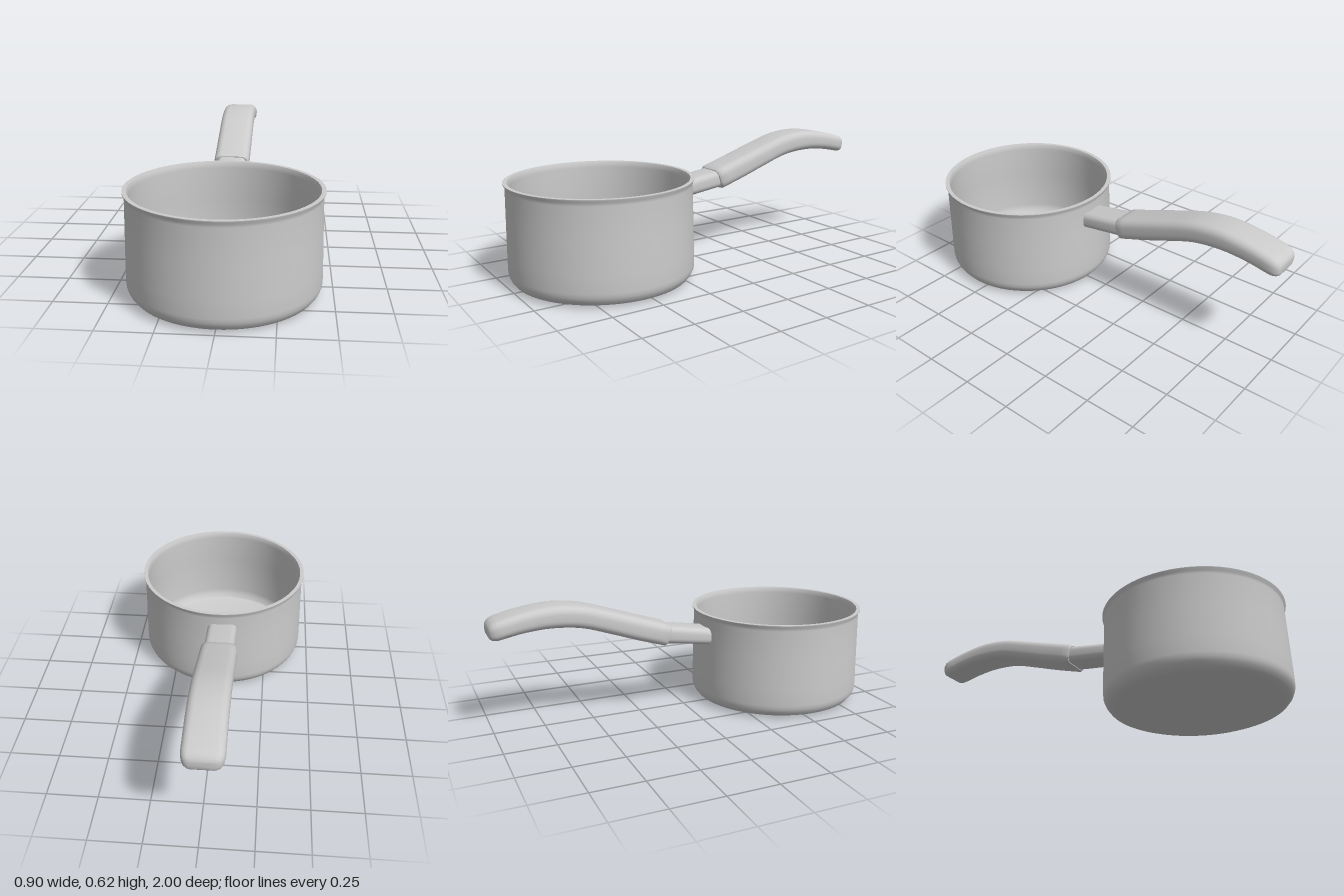
import * as THREE from 'three';
import { toCreasedNormals } from 'three/addons/utils/BufferGeometryUtils.js';

const HANDLE_X = -0.022;
const POT_Z = 0.547;

// Rounded rectangle outline, counter-clockwise, as [u, v] pairs
function roundedOutline(w, h, r, steps = 5) {
  const pts = [];
  const corners = [[1, 1], [-1, 1], [-1, -1], [1, -1]];
  corners.forEach(([sx, sy], c) => {
    for (let i = 0; i <= steps; i++) {
      const a = (c + i / steps) * Math.PI / 2;
      pts.push([sx * (w - r) + Math.cos(a) * r, sy * (h - r) + Math.sin(a) * r]);
    }
  });
  return pts;
}

// Skin through sections given as [zTop, yTop, zBottom, yBottom, halfWidth], running toward -z
function loft(sections, radius) {
  const pos = [], index = [];
  let n = 0;
  for (const [zt, yt, zb, yb, w] of sections) {
    const h = Math.hypot(zt - zb, yt - yb) / 2;
    const outline = roundedOutline(w, h, Math.min(radius, h * 0.75, w * 0.75));
    n = outline.length;
    for (const [u, v] of outline) {
      const t = (v / h + 1) / 2;
      pos.push(HANDLE_X + u, yb + (yt - yb) * t, zb + (zt - zb) * t);
    }
  }
  for (let s = 0; s < sections.length - 1; s++) {
    for (let i = 0; i < n; i++) {
      const a = s * n + i, b = s * n + (i + 1) % n;
      index.push(a, b, a + n, b, b + n, a + n);
    }
  }
  // end caps
  const last = (sections.length - 1) * n;
  for (let i = 1; i < n - 1; i++) {
    index.push(0, i + 1, i, last, last + i, last + i + 1);
  }
  // the outline runs counter-clockwise seen from +z, so turn the faces outward
  for (let i = 0; i < index.length; i += 3) {
    [index[i + 1], index[i + 2]] = [index[i + 2], index[i + 1]];
  }
  const g = new THREE.BufferGeometry();
  g.setAttribute('position', new THREE.Float32BufferAttribute(pos, 3));
  g.setIndex(index);
  return toCreasedNormals(g, 0.7);
}

// Resample hand-placed sections along a smooth curve
function smoothSections(keys, count) {
  const curve = (a, b) => new THREE.CatmullRomCurve3(keys.map(k => new THREE.Vector3(k[a], k[b], k[4])));
  const top = curve(0, 1), bottom = curve(2, 3);
  return Array.from({ length: count + 1 }, (_, i) => {
    const p = top.getPoint(i / count), q = bottom.getPoint(i / count);
    return [p.x, p.y, q.x, q.y, p.z];
  });
}

export function createModel() {
  const group = new THREE.Group();
  const material = new THREE.MeshStandardMaterial({ color: 0xcccccc, side: THREE.DoubleSide });
  const add = (name, geometry) => {
    const mesh = new THREE.Mesh(geometry, material);
    mesh.name = name;
    group.add(mesh);
    return mesh;
  };

  // Pot: outer wall, flared rim and inner wall in one turned profile
  const profile = [
    [0, 0], [0.385, 0], [0.4, 0.002], [0.425, 0.012], [0.44, 0.031], [0.448, 0.05], [0.45, 0.07],
    [0.449, 0.15], [0.446, 0.3], [0.443, 0.46], [0.444, 0.475], [0.452, 0.486], [0.452, 0.49],
    [0.432, 0.49], [0.427, 0.478], [0.426, 0.46], [0.43, 0.3], [0.434, 0.08], [0.43, 0.052],
    [0.415, 0.03], [0.385, 0.02], [0, 0.02],
  ].map(([r, y]) => new THREE.Vector2(r, y));
  const pot = add('pot', toCreasedNormals(new THREE.LatheGeometry(profile, 72), 0.65));
  pot.position.z = POT_Z;

  // Short metal neck joining pot and grip
  add('handleNeck', loft([
    [0.118, 0.42, 0.118, 0.336, 0.077],
    [-0.12, 0.458, -0.135, 0.37, 0.077],
  ], 0.03));

  // Curved grip with a chamfered collar and a rounded tip
  const body = smoothSections([
    [-0.112, 0.467, -0.142, 0.362, 0.0925],
    [-0.25, 0.511, -0.285, 0.407, 0.0925],
    [-0.39, 0.557, -0.42, 0.454, 0.0925],
    [-0.555, 0.606, -0.565, 0.5, 0.0925],
    [-0.705, 0.62, -0.705, 0.515, 0.0925],
    [-0.86, 0.6, -0.84, 0.507, 0.0925],
    [-0.955, 0.577, -0.935, 0.49, 0.0925],
  ], 24);
  add('handleGrip', loft([
    [-0.103, 0.459, -0.13, 0.365, 0.085],
    ...body,
    [-0.978, 0.568, -0.962, 0.484, 0.089],
    [-0.992, 0.556, -0.982, 0.485, 0.08],
    [-0.999, 0.545, -0.994, 0.492, 0.068],
    [-1.0, 0.535, -0.999, 0.502, 0.055],
  ], 0.038));

  return group;
}
